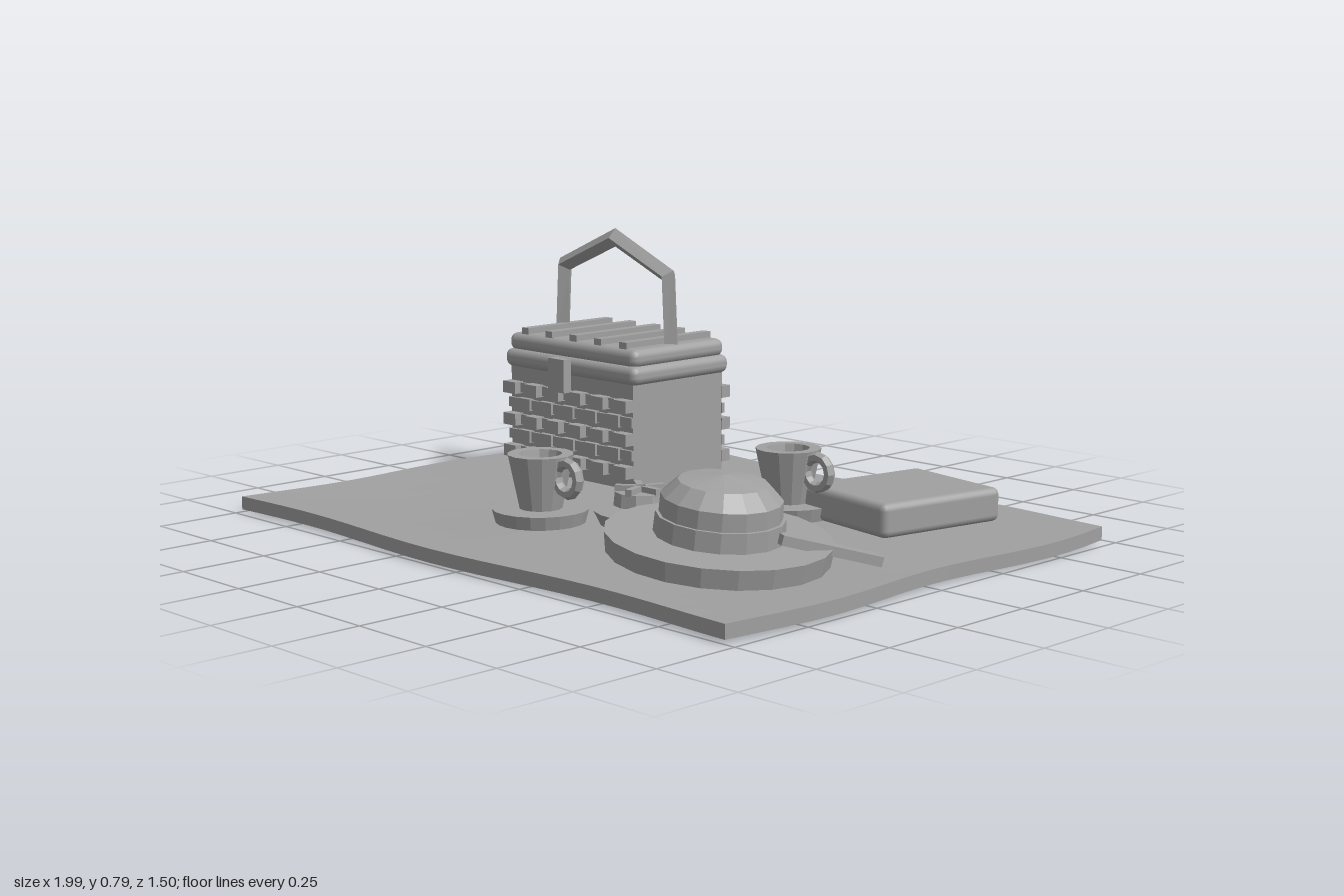
import * as THREE from 'three';
import { RoundedBoxGeometry } from 'three/addons/geometries/RoundedBoxGeometry.js';

const grey = new THREE.MeshStandardMaterial({ color: 0xa0a0a0 });
grey.name = 'plain grey';

// faceted normals
function flat(geometry) {
  const g = geometry.index ? geometry.toNonIndexed() : geometry;
  g.computeVertexNormals();
  return g;
}

function add(parent, name, geometry, x = 0, y = 0, z = 0) {
  const mesh = new THREE.Mesh(geometry, grey);
  mesh.name = name;
  mesh.position.set(x, y, z);
  parent.add(mesh);
  return mesh;
}

function group(parent, name, x = 0, y = 0, z = 0) {
  const g = new THREE.Group();
  g.name = name;
  g.position.set(x, y, z);
  parent.add(g);
  return g;
}

const box = (w, h, d) => new THREE.BoxGeometry(w, h, d);
const disc = (top, bottom, h, sides) => flat(new THREE.CylinderGeometry(top, bottom, h, sides));
const lathe = (points, sides) =>
  flat(new THREE.LatheGeometry(points.map(([r, y]) => new THREE.Vector2(r, y)), sides));

// bar that bends at each given point
class Polyline extends THREE.Curve {
  constructor(points) {
    super();
    this.points = points;
  }
  getPointAt(u) {
    return this.points[Math.round(u * (this.points.length - 1))].clone();
  }
  getTangentAt(u) {
    const p = this.points, i = Math.round(u * (p.length - 1));
    return p[Math.min(i + 1, p.length - 1)].clone().sub(p[Math.max(i - 1, 0)]).normalize();
  }
}

// rippled picnic blanket
function buildBlanket(parent) {
  const g = new THREE.BoxGeometry(1.955, 0.038, 1.465, 20, 1, 16);
  const p = g.attributes.position;
  for (let i = 0; i < p.count; i++) {
    const x = p.getX(i), z = p.getZ(i);
    p.setXYZ(i,
      x - 0.018 * Math.cos(7 * (z + 0.05)),
      p.getY(i) + 0.026 + 0.004 * Math.cos(5.3 * x) * Math.sin(4 * z) + 0.004 * (x * x + z * z - 0.7),
      z + 0.018 * Math.cos(5.3 * (x + 0.08)));
  }
  add(parent, 'blanket', flat(g));
}

// basket with woven front and back, slatted lid and bent handle
function buildBasket(parent) {
  const b = group(parent, 'basket', -0.537, 0, -0.325);
  add(b, 'basketBody', box(0.54, 0.32, 0.37), 0, 0.205, 0);
  for (const side of [-1, 1]) {
    for (let row = 0; row < 5; row++) {
      const main = row % 2 === 0;
      const count = main ? 6 : 5;
      const out = main ? 0.035 : 0.02;
      add(b, 'weaveBand', box(0.545, 0.03, 0.012), 0, 0.1 + row * 0.049, side * 0.189);
      for (let i = 0; i < count; i++) {
        add(b, 'weaveBlock', box(0.055, 0.036, out),
          (i - (count - 1) / 2) * 0.098, 0.1 + row * 0.049, side * (0.183 + out / 2));
      }
    }
  }
  add(b, 'lidRim', new RoundedBoxGeometry(0.58, 0.057, 0.4, 2, 0.024), 0, 0.384, 0);
  add(b, 'lid', new RoundedBoxGeometry(0.56, 0.055, 0.38, 2, 0.024), 0, 0.433, 0);
  for (let i = -2; i <= 2; i++) {
    add(b, 'lidSlat', box(0.03, 0.03, 0.35), i * 0.108, 0.463, 0);
  }
  add(b, 'latch', box(0.07, 0.1, 0.03), 0, 0.363, 0.23);

  const bends = [[-0.24, 0.44], [-0.228, 0.66], [0, 0.758], [0.228, 0.66], [0.24, 0.44]];
  const path = new Polyline(bends.map(([x, y]) => new THREE.Vector3(x, y, 0)));
  add(b, 'basketHandle', flat(new THREE.TubeGeometry(path, 4, 0.028, 4)));
}

// cup on a saucer
function buildCup(parent, x, z) {
  const c = group(parent, 'teaCup', x, 0, z);
  add(c, 'saucer', disc(0.135, 0.125, 0.038, 20), 0, 0.07, 0);
  add(c, 'cup', lathe([[0, 0.089], [0.06, 0.089], [0.092, 0.24], [0.06, 0.24], [0.042, 0.13], [0, 0.13]], 14));
  add(c, 'cupHandle', flat(new THREE.TorusGeometry(0.043, 0.016, 6, 12)), 0.11, 0.185, 0);
}

// plate of cookies with star toppings
function buildCookies(parent) {
  const c = group(parent, 'cookiePlate', 0.12, 0, 0.09);
  add(c, 'plate', disc(0.215, 0.195, 0.04, 24), 0, 0.072, 0);
  [[-0.08, 0.035], [0.065, -0.03]].forEach(([x, z], n) => {
    const cookie = group(c, 'cookie', x, 0.092, z);
    add(cookie, 'cookieBase', disc(0.072, 0.076, 0.038, 10), 0, 0.019, 0);
    for (let i = 0; i < 5; i++) {
      const a = n * 0.5 + i * Math.PI * 0.4;
      const arm = add(cookie, 'cookieTopping', box(0.058, 0.02, 0.02),
        Math.cos(a) * 0.042, 0.044, -Math.sin(a) * 0.042);
      arm.rotation.y = a;
    }
  });
}

// leaning sun hat with a loose ribbon
function buildHat(parent) {
  const h = group(parent, 'sunHat', 0.595, 0.115, 0.388);
  h.rotation.z = -0.1;
  add(h, 'brim', disc(0.292, 0.285, 0.052, 20));
  add(h, 'hatBand', disc(0.165, 0.168, 0.06, 16), 0, 0.048, 0);
  add(h, 'crown', lathe([[0.158, 0.02], [0.155, 0.125], [0.115, 0.165], [0, 0.182]], 16));

  const from = new THREE.Vector3(0.755, 0.15, 0.34), to = new THREE.Vector3(0.875, 0.075, 0.1);
  const ribbon = add(parent, 'ribbon', box(0.06, 0.026, from.distanceTo(to)));
  ribbon.position.copy(from).add(to).multiplyScalar(0.5);
  ribbon.lookAt(to);
}

export function createModel() {
  const model = new THREE.Group();
  model.name = 'picnic';
  buildBlanket(model);
  buildBasket(model);
  buildCup(model, -0.135, 0.337);
  buildCup(model, 0.282, -0.21);
  buildCookies(model);
  buildHat(model);
  const book = add(model, 'book', new RoundedBoxGeometry(0.355, 0.095, 0.415, 2, 0.02), 0.54, 0.098, -0.39);
  book.rotation.y = -0.18;
  return model;
}
